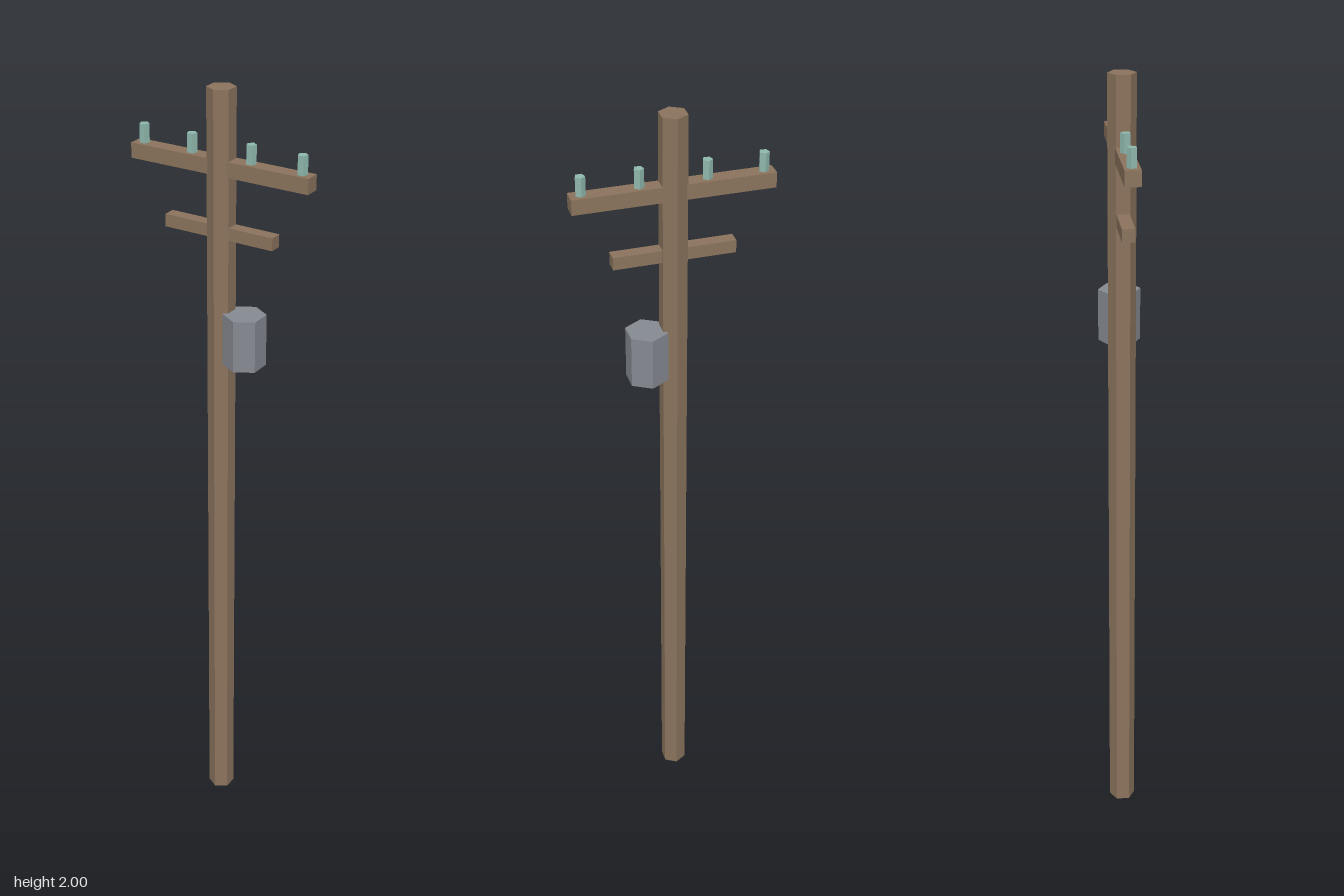
import * as THREE from 'three';

const material = (color) => new THREE.MeshStandardMaterial({ color, flatShading: true });

export function createModel() {
  const group = new THREE.Group();
  group.name = 'utilityPole';
  const wood = material(0x8a735c);
  const metal = material(0x858991);
  const glass = material(0x8fb8ac);

  const add = (name, geometry, mat, x, y) => {
    const mesh = new THREE.Mesh(geometry, mat);
    mesh.name = name;
    mesh.position.set(x, y, 0);
    group.add(mesh);
    return mesh;
  };

  // Six-sided pole, corners facing front and back
  add('pole', new THREE.CylinderGeometry(0.034, 0.034, 2, 6), wood, 0, 1);

  // Crossarms running through the pole
  add('upperCrossarm', new THREE.BoxGeometry(0.473, 0.037, 0.038), wood, 0, 1.818);
  add('lowerCrossarm', new THREE.BoxGeometry(0.292, 0.031, 0.031), wood, 0, 1.663);

  // Five-sided insulators standing on the upper crossarm
  const insulator = new THREE.CylinderGeometry(0.0123, 0.0123, 0.046, 5).rotateY(Math.PI);
  for (const x of [-0.211, -0.079, 0.079, 0.211]) add('insulator', insulator, glass, x, 1.859);

  // Transformer can hung on the left side
  add('transformer', new THREE.CylinderGeometry(0.052, 0.052, 0.131, 6), metal, 0.065, 1.4);

  return group;
}
